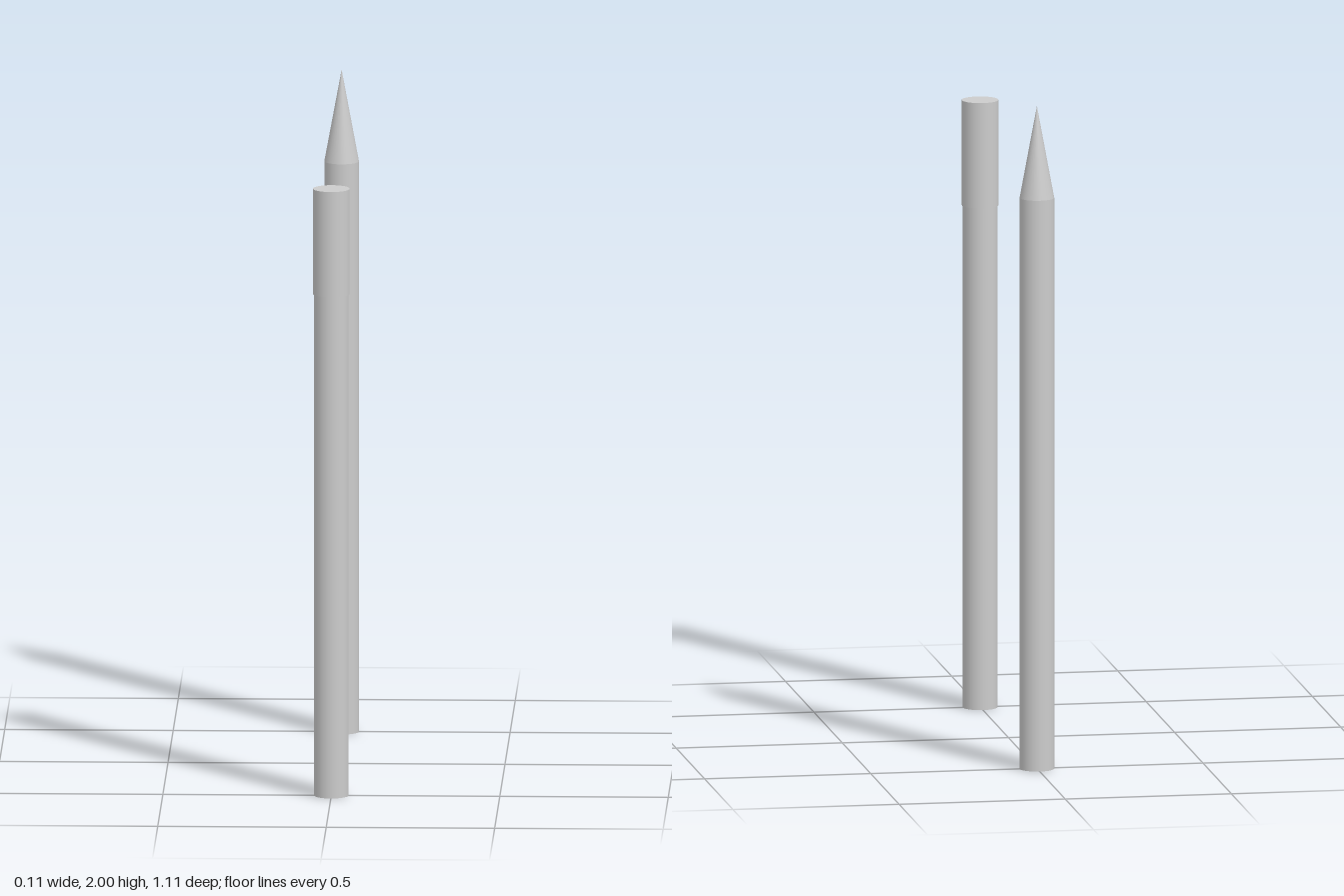
import * as THREE from 'three';

const RADIUS = 0.0515, CAP_RADIUS = 0.0545, SIDES = 32;

export function createModel() {
  const model = new THREE.Group();
  model.name = 'pencilAndCappedPencil';
  const material = new THREE.MeshStandardMaterial({ color: 0xcccccc });

  // Adds an upright round part spanning y0..y1
  const addRound = (parent, name, rTop, rBottom, y0, y1) => {
    const geometry = rTop === 0
      ? new THREE.ConeGeometry(rBottom, y1 - y0, SIDES)
      : new THREE.CylinderGeometry(rTop, rBottom, y1 - y0, SIDES);
    const mesh = new THREE.Mesh(geometry, material);
    mesh.name = name;
    mesh.position.y = (y0 + y1) / 2;
    parent.add(mesh);
  };

  // Front stick: plain shaft with a slightly wider flat cap
  const capped = new THREE.Group();
  capped.name = 'cappedStick';
  capped.position.z = 0.4985;
  addRound(capped, 'cappedShaft', RADIUS, RADIUS, 0, 1.52);
  addRound(capped, 'cap', CAP_RADIUS, CAP_RADIUS, 1.515, 1.833);

  // Rear stick: plain shaft with a pointed tip
  const pointed = new THREE.Group();
  pointed.name = 'pointedStick';
  pointed.position.z = -0.5015;
  addRound(pointed, 'pointedShaft', RADIUS, RADIUS, 0, 1.723);
  addRound(pointed, 'tip', 0, RADIUS, 1.723, 2);

  model.add(capped, pointed);
  return model;
}
